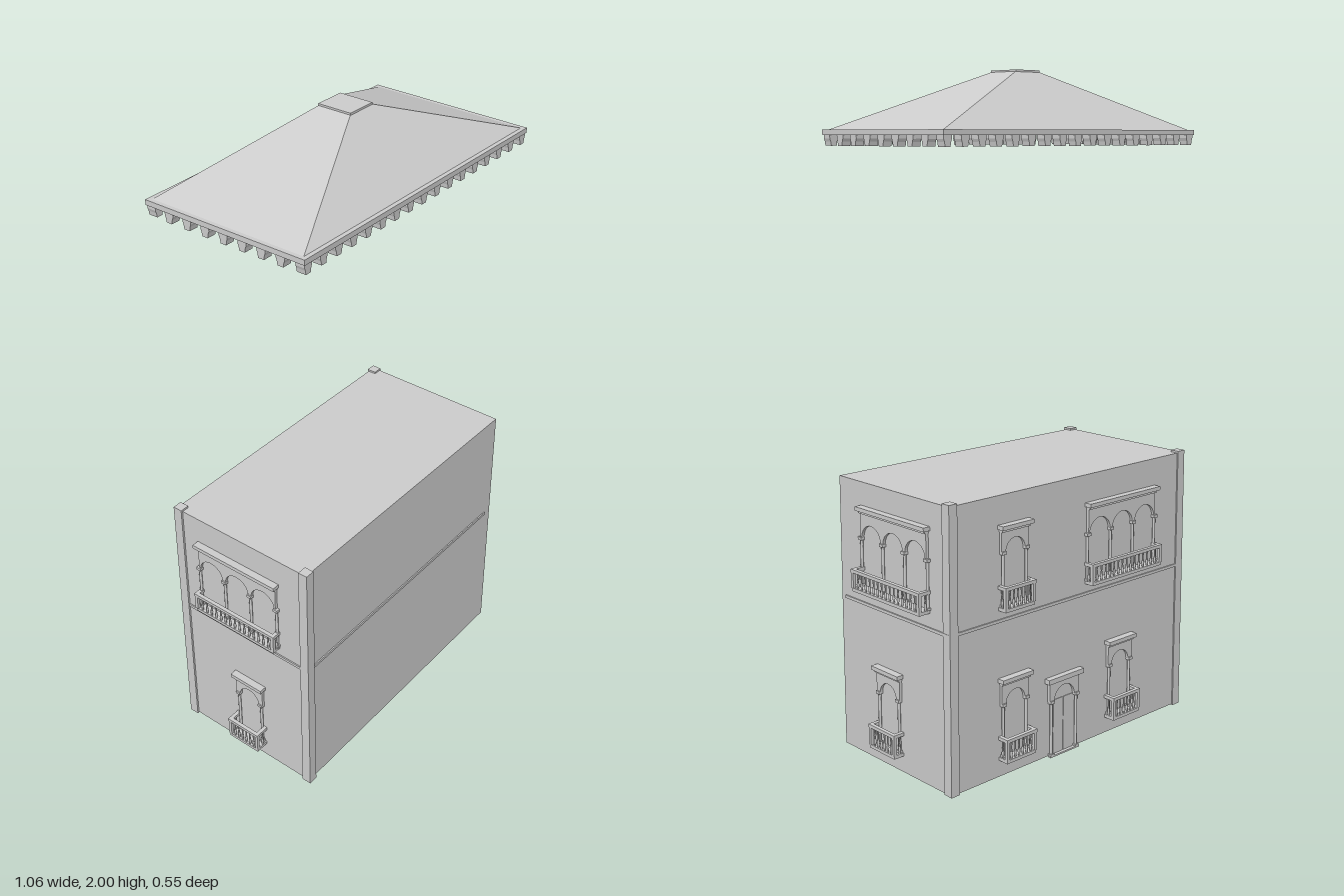
import * as THREE from 'three';

const grey = new THREE.MeshStandardMaterial({ color: 0xcccccc, flatShading: true });
const smooth = new THREE.MeshStandardMaterial({ color: 0xcccccc });
const thin = new THREE.MeshStandardMaterial({ color: 0xcccccc, flatShading: true, side: THREE.DoubleSide });

function add(parent, name, geometry, x = 0, y = 0, z = 0, material = grey) {
  const mesh = new THREE.Mesh(geometry, material);
  mesh.name = name;
  mesh.position.set(x, y, z);
  parent.add(mesh);
  return mesh;
}

// Box given by its minimum and maximum corners
function slab(parent, name, x0, x1, y0, y1, z0, z1) {
  return add(parent, name, new THREE.BoxGeometry(x1 - x0, y1 - y0, z1 - z0),
    (x0 + x1) / 2, (y0 + y1) / 2, (z0 + z1) / 2);
}

// Wall panel with a row of round arches cut from its lower edge
function archPanel(parent, width, spring, top, radius, centres) {
  const s = new THREE.Shape();
  s.moveTo(-width / 2, spring);
  for (const c of centres) {
    s.lineTo(c - radius, spring);
    s.absarc(c, spring, radius, Math.PI, 0, true);
  }
  s.lineTo(width / 2, spring);
  s.lineTo(width / 2, top);
  s.lineTo(-width / 2, top);
  s.closePath();
  add(parent, 'archPanel', new THREE.ExtrudeGeometry(s, { depth: 0.009, bevelEnabled: false, curveSegments: 10 }));
}

// Slim column with capital and base
function column(parent, x, y0, y1) {
  const r = 0.0045;
  add(parent, 'columnShaft', new THREE.CylinderGeometry(r, r, y1 - y0, 8), x, (y0 + y1) / 2, 0.005, smooth);
  slab(parent, 'columnCapital', x - 0.008, x + 0.008, y1 - 0.006, y1 + 0.003, 0, 0.013);
  slab(parent, 'columnBase', x - 0.007, x + 0.007, y0, y0 + 0.007, 0, 0.012);
}

// Balcony: floor, rail and turned balusters along the front and both ends
function balcony(parent, width, depth, height, count) {
  const h = width / 2, rail = 0.01;
  slab(parent, 'balconyFloor', -h + 0.003, h - 0.003, 0, rail, 0, depth - 0.003);
  slab(parent, 'balconyFrontRail', -h, h, height - rail, height, depth - 0.012, depth);
  const len = height - 2 * rail;
  const profile = [[0.0028, 0], [0.0042, 0.3], [0.0022, 0.6], [0.0032, 1]]
    .map(([r, t]) => new THREE.Vector2(r, t * len));
  const baluster = new THREE.LatheGeometry(profile, 6);
  for (let i = 1; i < count - 1; i++) {
    add(parent, 'baluster', baluster, -h + 0.007 + (i * (width - 0.014)) / (count - 1), rail, depth - 0.007, smooth);
  }
  for (const s of [-1, 1]) {
    const x = s * (h - 0.006);
    slab(parent, 'balconySideRail', x - 0.006, x + 0.006, height - rail, height, 0, depth - 0.012);
    slab(parent, 'balconyPost', x - 0.005, x + 0.005, rail, height - rail, depth - 0.011, depth - 0.001);
    add(parent, 'baluster', baluster, x, rail, depth * 0.35, smooth);
  }
}

// Window with 1 or 3 arches, lintel, columns and balcony
function archedWindow(arches, depth) {
  const g = new THREE.Group();
  g.name = arches > 1 ? 'tripleWindow' : 'singleWindow';
  const wide = arches > 1;
  const width = wide ? 0.31 : 0.12, spring = wide ? 0.155 : 0.17, radius = wide ? 0.044 : 0.037;
  const pitch = 0.099;
  const centres = wide ? [-pitch, 0, pitch] : [0];
  archPanel(g, width - 0.014, spring, 0.24, radius, centres);
  slab(g, 'lintel', -width / 2, width / 2, 0.238, 0.25, 0, 0.023);
  slab(g, 'lintelMoulding', -width / 2 + 0.005, width / 2 - 0.005, 0.23, 0.238, 0, 0.015);
  const step = wide ? pitch : 0.09;
  for (let i = 0; i <= arches; i++) column(g, (i - arches / 2) * step, 0.01, spring);
  balcony(g, width, depth, wide ? 0.067 : 0.074, wide ? 17 : 8);
  return g;
}

// Doorway with columns, arch, lintel, two leaves and threshold
function doorway() {
  const g = new THREE.Group();
  g.name = 'doorway';
  archPanel(g, 0.124, 0.175, 0.24, 0.042, [0]);
  slab(g, 'doorLintel', -0.073, 0.073, 0.235, 0.25, 0, 0.019);
  for (const s of [-1, 1]) {
    column(g, s * 0.052, 0.003, 0.175);
    slab(g, 'doorLeaf', s * 0.021 - 0.019, s * 0.021 + 0.019, 0.004, 0.175, 0, 0.002);
  }
  slab(g, 'threshold', -0.06, 0.06, 0, 0.005, 0, 0.012);
  return g;
}

// Corbel under the eaves, tapering towards its foot
function corbelGeometry() {
  const s = new THREE.Shape();
  s.moveTo(-0.014, 0.03);
  s.lineTo(-0.014, 0.02);
  s.lineTo(-0.011, 0.012);
  s.lineTo(-0.009, 0);
  s.lineTo(0.009, 0);
  s.lineTo(0.011, 0.012);
  s.lineTo(0.014, 0.02);
  s.lineTo(0.014, 0.03);
  s.closePath();
  return new THREE.ExtrudeGeometry(s, { depth: 0.028, bevelEnabled: false }).translate(0, 0, -0.014);
}

function createRoof() {
  const roof = new THREE.Group();
  roof.name = 'roof';
  slab(roof, 'eaves', -0.485, 0.5, 1.818, 1.833, -0.25, 0.272);

  // Hipped roof: a box whose top face is drawn in
  const hip = new THREE.BoxGeometry(0.96, 0.162, 0.496);
  const p = hip.attributes.position;
  for (let i = 0; i < p.count; i++) {
    if (p.getY(i) > 0) p.setXYZ(i, Math.sign(p.getX(i)) * 0.046 - 0.003, p.getY(i), Math.sign(p.getZ(i)) * 0.052 + 0.001);
  }
  hip.computeVertexNormals();
  add(roof, 'hippedRoof', hip, 0.008, 1.914, 0.011);
  slab(roof, 'roofCap', -0.042, 0.051, 1.992, 2, -0.041, 0.065);

  const corbel = corbelGeometry();
  const nx = 17, nz = 9, x0 = -0.468, x1 = 0.483, z0 = -0.233, z1 = 0.255;
  for (let i = 0; i < nx; i++) {
    const x = x0 + ((x1 - x0) * i) / (nx - 1);
    for (const z of [z0, z1]) add(roof, 'corbel', corbel, x, 1.789, z);
  }
  for (let i = 1; i < nz - 1; i++) {
    const z = z0 + ((z1 - z0) * i) / (nz - 1);
    for (const x of [x0, x1]) add(roof, 'corbel', corbel, x, 1.789, z).rotation.y = Math.PI / 2;
  }
  return roof;
}

export function createModel() {
  const model = new THREE.Group();
  model.name = 'house';
  const X = 0.483, ZB = -0.235, ZF = 0.256, H = 0.84;

  // Walls and flat top, open underneath
  const box = new THREE.BoxGeometry(2 * X, H - 0.003, ZF - ZB);
  const index = Array.from(box.index.array);
  index.splice(18, 6);
  box.setIndex(index);
  add(model, 'walls', box, 0, (H + 0.003) / 2, (ZF + ZB) / 2, thin);

  // Pillars on three corners
  for (const [x, z] of [[-0.474, 0.249], [-0.474, -0.224], [0.471, -0.224]]) {
    slab(model, 'cornerPillar', x - 0.015, x + 0.015, 0, 0.846, z - 0.015, z + 0.015);
  }

  // String course between the floors
  const y0 = 0.47, y1 = 0.479, d = 0.004;
  slab(model, 'frontStringCourse', -X, 0.45, y0, y1, ZF, ZF + d);
  slab(model, 'backStringCourse', -X, X, y0, y1, ZB - d, ZB);
  slab(model, 'sideStringCourse', X, X + d, y0, y1, ZB, ZF - 0.02);
  slab(model, 'sideStringCourse', -X - d, -X, y0, y1, ZB, ZF);

  // Openings on the back and both sides
  const place = (part, x, y, z, turn) => {
    part.position.set(x, y, z);
    part.rotation.y = turn;
    model.add(part);
  };
  place(archedWindow(1, 0.033), 0.245, 0.505, ZB, Math.PI);
  place(archedWindow(3, 0.035), -0.2, 0.505, ZB, Math.PI);
  place(archedWindow(1, 0.038), 0.245, 0.053, ZB, Math.PI);
  place(archedWindow(1, 0.041), -0.197, 0.053, ZB, Math.PI);
  place(doorway(), 0.045, 0, ZB, Math.PI);
  place(archedWindow(3, 0.043), X, 0.52, 0, Math.PI / 2);
  place(archedWindow(1, 0.038), X, 0.053, 0.033, Math.PI / 2);
  place(archedWindow(3, 0.032), -X, 0.505, 0, -Math.PI / 2);
  place(archedWindow(1, 0.047), -X, 0.053, 0.028, -Math.PI / 2);

  model.add(createRoof());
  return model;
}
